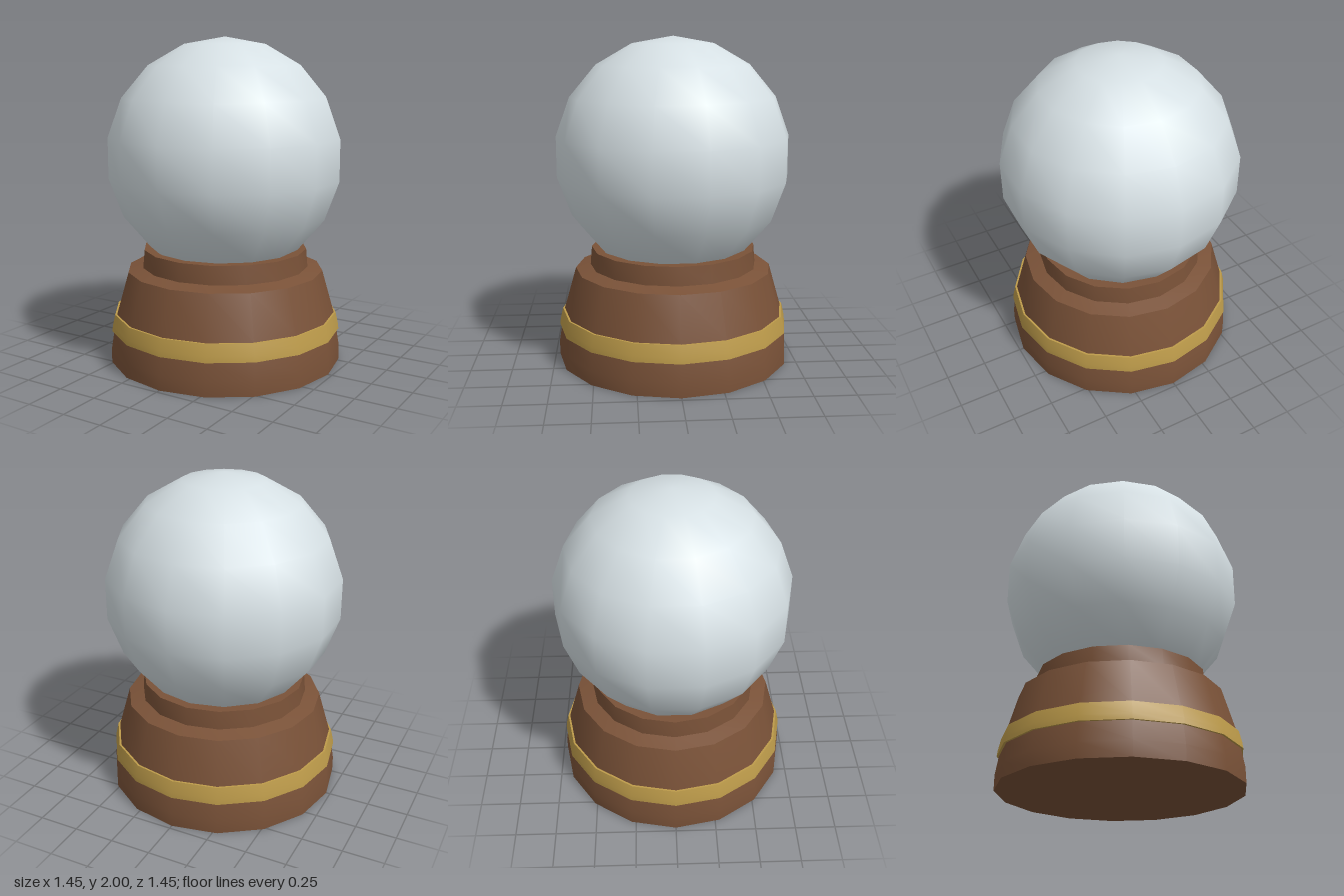
import * as THREE from 'three';
import { toCreasedNormals } from 'three/addons/utils/BufferGeometryUtils.js';

const SIDES = 16;

// Turned part from a [radius, height] profile, running bottom to top
function turned(name, profile, color) {
  const points = profile.map(([r, y]) => new THREE.Vector2(r, y));
  const geometry = toCreasedNormals(new THREE.LatheGeometry(points, SIDES), 0.5);
  const mesh = new THREE.Mesh(geometry, new THREE.MeshStandardMaterial({ color }));
  mesh.name = name;
  return mesh;
}

export function createModel() {
  const model = new THREE.Group();
  model.name = 'snowGlobe';

  // Wooden base: foot, tapering body, sloped shoulder and collar
  model.add(turned('base', [
    [0, 0], [0.725, 0], [0.725, 0.09], [0.707, 0.2], [0.688, 0.305],
    [0.612, 0.57], [0.52, 0.592], [0.51, 0.705], [0, 0.705],
  ], 0x7a5238));

  // Metal band around the body
  model.add(turned('band', [
    [0.69, 0.2], [0.72, 0.2], [0.716, 0.235], [0.7, 0.305], [0.67, 0.305],
  ], 0xbd9b4a));

  // Glass ball, its lower end sunk into the collar
  const radius = 0.728;
  const globe = new THREE.Mesh(
    new THREE.SphereGeometry(radius, 14, 9).rotateY(Math.PI / 2),
    new THREE.MeshStandardMaterial({ color: 0xd6e0e4 })
  );
  globe.name = 'globe';
  globe.position.y = 2 - radius;
  model.add(globe);

  return model;
}
